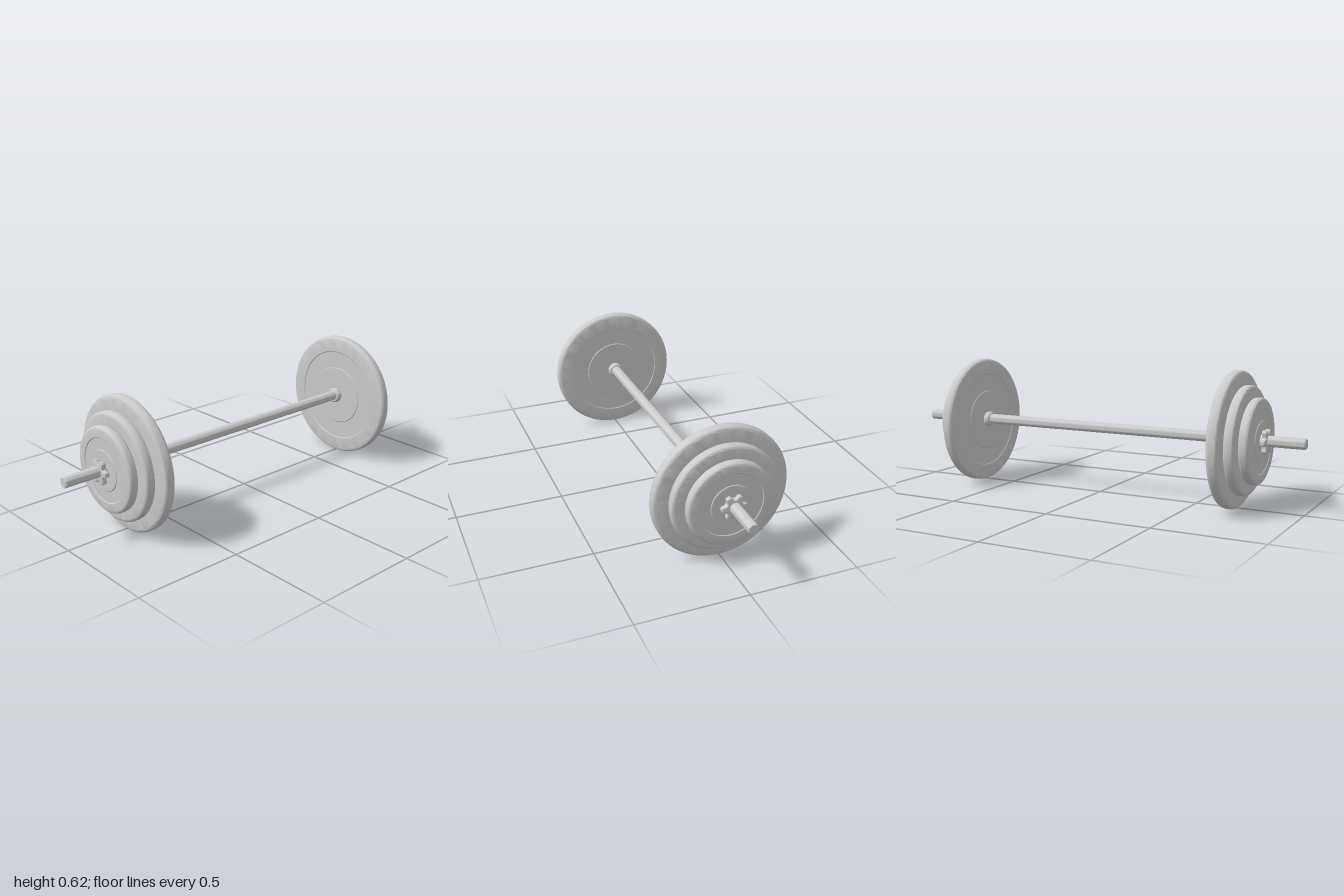
import * as THREE from 'three';
import { toCreasedNormals } from 'three/addons/utils/BufferGeometryUtils.js';

const AXIS_Y = 0.308; // plate centre height
const BAR_Y = 0.313; // bar sits slightly high in the plate holes
const material = new THREE.MeshStandardMaterial({ color: 0xcccccc });

function addMesh(parent, name, geometry, y) {
  const mesh = new THREE.Mesh(geometry, material);
  mesh.name = name;
  mesh.position.y = y;
  parent.add(mesh);
  return mesh;
}

// Turn a profile of [radius, x] pairs around the x axis
function turned(profile, segments) {
  const geometry = new THREE.LatheGeometry(profile.map(([r, x]) => new THREE.Vector2(r, x)), segments);
  geometry.rotateZ(-Math.PI / 2);
  return toCreasedNormals(geometry, 0.6);
}

// Disc with rounded rim, centre hole and a shallow ring recess on both faces
function plateGeometry(radius, x0, x1) {
  const hole = 0.029, d = 0.003;
  const rIn = radius * 0.468, rOut = radius * 0.757;
  const half = (x1 - x0) / 2, mid = (x0 + x1) / 2, round = half * 0.65;
  const face = [[hole, half], [rIn, half], [rIn + 0.003, half - d], [rOut - 0.003, half - d], [rOut, half]];
  const rim = [];
  for (let i = 0; i <= 6; i++) {
    const a = (i / 6) * Math.PI / 2;
    rim.push([radius - round + round * Math.sin(a), half - round + round * Math.cos(a)]);
  }
  const side = [...face, ...rim];
  const profile = [
    ...side.map(([r, x]) => [r, mid - x]),
    ...side.reverse().map(([r, x]) => [r, mid + x]),
    [hole, mid - half],
  ];
  return turned(profile, 96);
}

// Six-lobed locking nut
function starGeometry(x0, x1) {
  const points = [];
  for (let i = 0; i < 6; i++) {
    for (const [deg, r] of [[-10, 0.056], [0, 0.058], [10, 0.056], [30, 0.037]]) {
      const a = (i * 60 + deg) * Math.PI / 180;
      points.push(new THREE.Vector3(r * Math.cos(a), r * Math.sin(a), 0));
    }
  }
  const outline = new THREE.CatmullRomCurve3(points, true).getPoints(96).slice(0, -1);
  const shape = new THREE.Shape(outline.map((p) => new THREE.Vector2(p.x, p.y)));
  const bevel = 0.003;
  const geometry = new THREE.ExtrudeGeometry(shape, {
    depth: x1 - x0 - 2 * bevel, bevelThickness: bevel, bevelSize: bevel, bevelOffset: -bevel, bevelSegments: 3,
  });
  geometry.translate(0, 0, x0 + bevel);
  geometry.rotateY(Math.PI / 2);
  return toCreasedNormals(geometry, 0.6);
}

// Everything loaded on one end of the bar, at +x
function createEnd(name) {
  const end = new THREE.Group();
  end.name = name;
  addMesh(end, 'innerCollar', turned([
    [0, 0.626], [0.03, 0.626], [0.035, 0.63], [0.037, 0.636], [0.037, 0.649], [0.034, 0.657], [0, 0.657],
  ], 40), BAR_Y - 0.002);
  addMesh(end, 'largePlate', plateGeometry(0.308, 0.655, 0.708), AXIS_Y);
  addMesh(end, 'mediumPlate', plateGeometry(0.245, 0.709, 0.756), AXIS_Y);
  addMesh(end, 'smallPlate', plateGeometry(0.193, 0.757, 0.802), AXIS_Y);
  addMesh(end, 'nutHub', turned([[0, 0.8], [0.034, 0.8], [0.034, 0.815], [0, 0.815]], 40), AXIS_Y + 0.002);
  addMesh(end, 'starNut', starGeometry(0.811, 0.833), AXIS_Y + 0.002);
  return end;
}

export function createModel() {
  const model = new THREE.Group();
  model.name = 'barbell';

  // Straight bar with slightly chamfered ends
  addMesh(model, 'bar', turned([
    [0, -1], [0.021, -1], [0.0245, -0.996], [0.0245, 0.996], [0.021, 1], [0, 1],
  ], 40), BAR_Y);

  // The two loaded ends
  model.add(createEnd('leftEnd'));
  const right = createEnd('rightEnd');
  right.rotation.y = Math.PI;
  model.add(right);
  return model;
}
